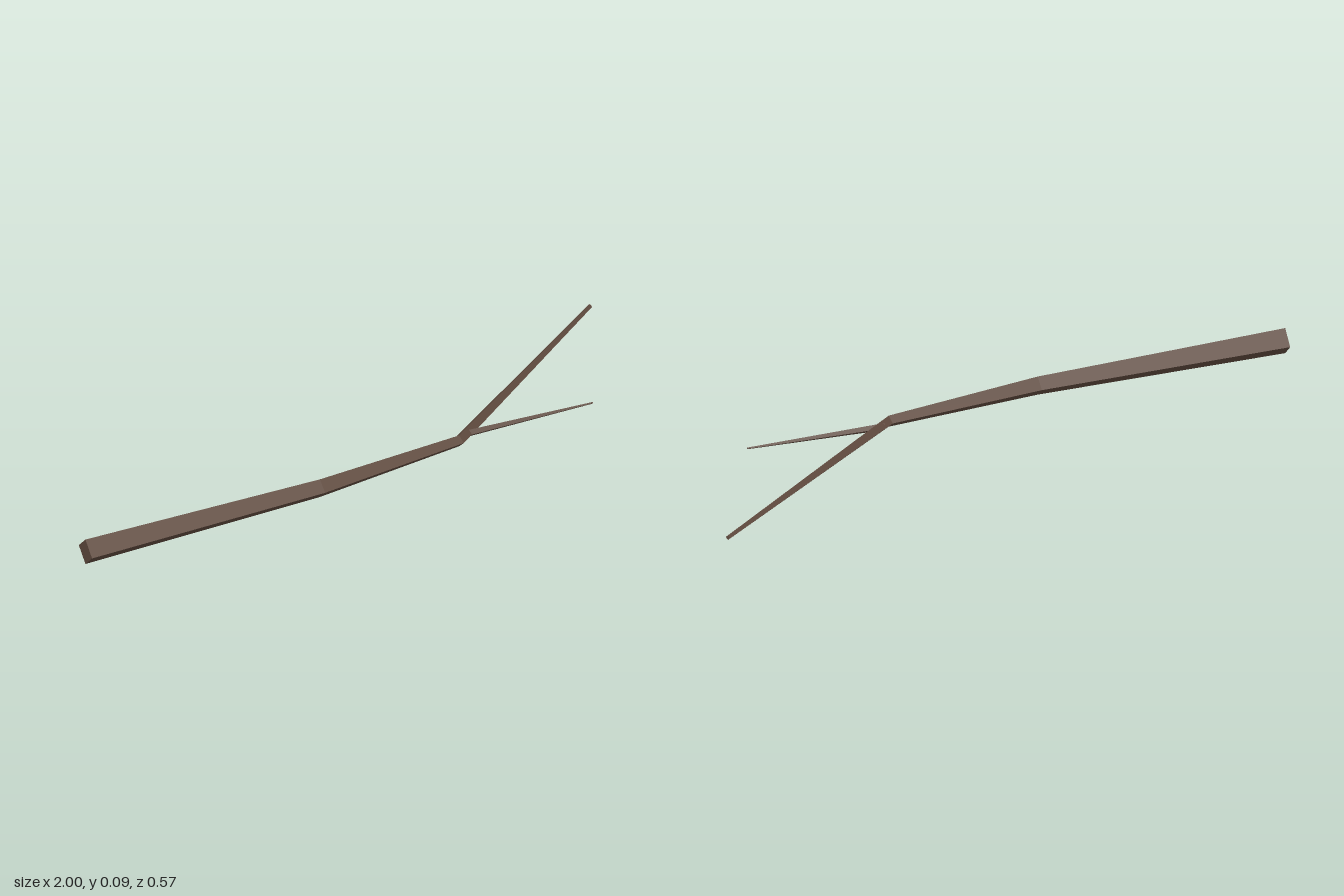
import * as THREE from 'three';

// Four-sided tapered limb through [x, z, radius] stations, lying level at height y
function limb(stations, y) {
  const pts = stations.map(([x, z]) => new THREE.Vector2(x, z));
  const rings = stations.map(([x, z, r], i) => {
    const dir = new THREE.Vector2();
    if (i > 0) dir.add(pts[i].clone().sub(pts[i - 1]).normalize());
    if (i < pts.length - 1) dir.add(pts[i + 1].clone().sub(pts[i]).normalize());
    dir.normalize();
    // diamond section: top, front, bottom, back
    return [[0, 1], [1, 0], [0, -1], [-1, 0]].map(([s, u]) =>
      [x - dir.y * r * s, y + r * u, z + dir.x * r * s]);
  });
  const pos = [];
  const quad = (a, b, c, d) => pos.push(...a, ...b, ...c, ...a, ...c, ...d);
  for (let i = 0; i < rings.length - 1; i++) {
    for (let k = 0; k < 4; k++) {
      const n = (k + 1) % 4;
      quad(rings[i][k], rings[i][n], rings[i + 1][n], rings[i + 1][k]);
    }
  }
  // end caps
  const first = rings[0], last = rings[rings.length - 1];
  quad(first[3], first[2], first[1], first[0]);
  quad(...last);
  const geo = new THREE.BufferGeometry();
  geo.setAttribute('position', new THREE.Float32BufferAttribute(pos, 3));
  geo.computeVertexNormals();
  return geo;
}

export function createModel() {
  const bark = new THREE.MeshStandardMaterial({ color: 0x5f4a3e });
  bark.name = 'bark brown';
  bark.flatShading = true;

  const group = new THREE.Group();
  group.name = 'branch';
  const add = (name, stations, y) => {
    const mesh = new THREE.Mesh(limb(stations, y), bark);
    mesh.name = name;
    group.add(mesh);
  };

  // Main stem with two bends
  add('mainStem', [
    [-1, 0.239, 0.043],
    [-0.21, 0.253, 0.031],
    [0.285, 0.213, 0.019],
    [0.995, -0.2775, 0.008],
  ], 0.043);

  // Thin side twig leaving the second bend
  add('sideTwig', [
    [0.31, 0.187, 0.012],
    [0.74, 0.212, 0.003],
  ], 0.043);

  return group;
}
